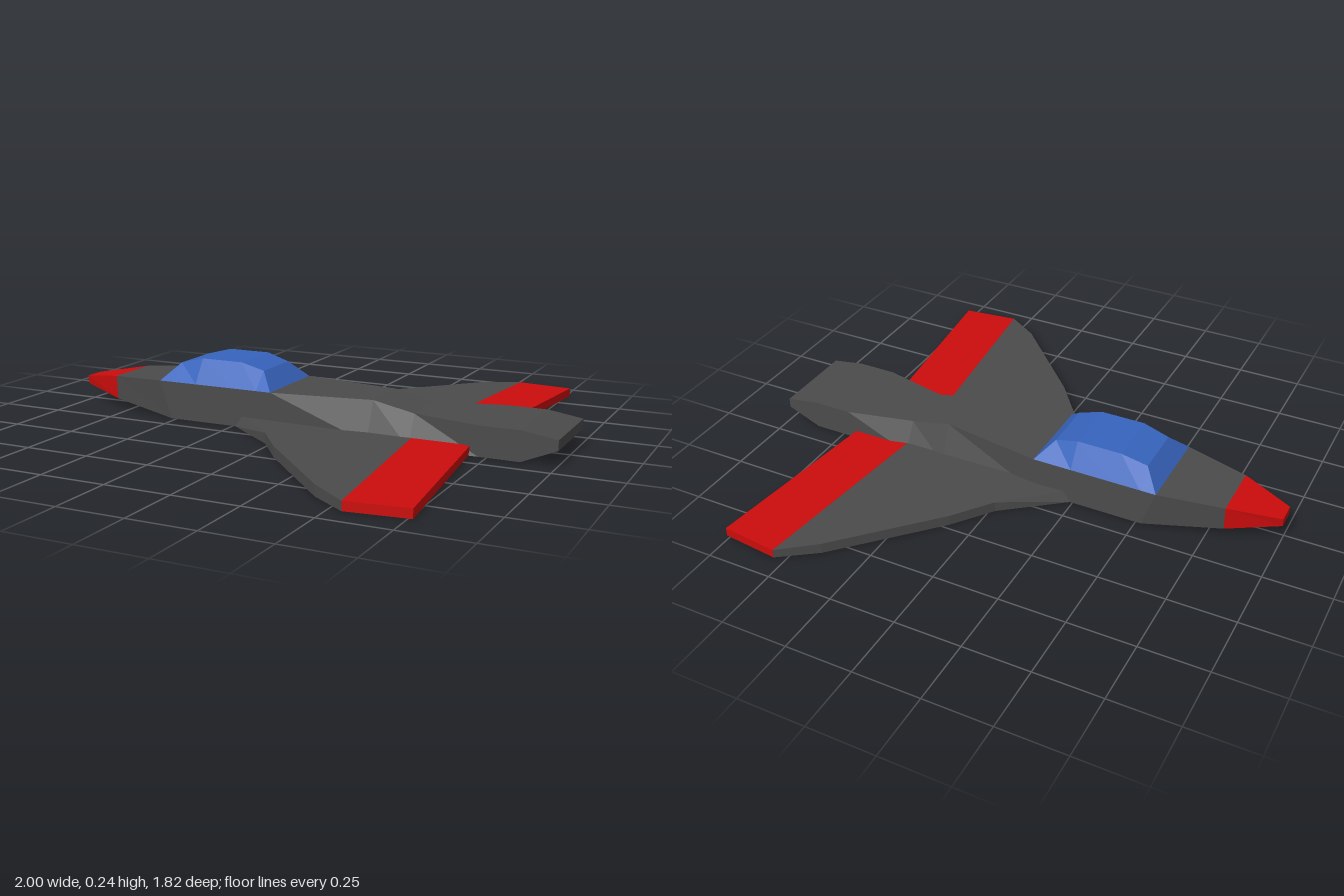
import * as THREE from 'three';

const mat = (name, color) => {
  const m = new THREE.MeshStandardMaterial({ color });
  m.name = name;
  return m;
};

function solid(name, triangles, material) {
  const g = new THREE.BufferGeometry();
  g.setAttribute('position', new THREE.Float32BufferAttribute(triangles.flat(), 3));
  g.computeVertexNormals(); // unshared corners give flat faces
  const mesh = new THREE.Mesh(g, material);
  mesh.name = name;
  return mesh;
}

// Four-sided loft along x; station: top x, top y, top half width, bottom x, bottom y, bottom half width
function loft(name, stations, material) {
  const rings = stations.map(([xt, yt, wt, xb, yb, wb]) =>
    [[xb, yb, wb], [xb, yb, -wb], [xt, yt, -wt], [xt, yt, wt]]);
  const t = [];
  for (let s = 0; s < rings.length - 1; s++) {
    const a = rings[s], b = rings[s + 1];
    for (let i = 0; i < 4; i++) {
      const j = (i + 1) % 4;
      t.push(a[i], a[j], b[j], a[i], b[j], b[i]);
    }
  }
  const a = rings[0], b = rings[rings.length - 1];
  t.push(a[0], a[2], a[1], a[0], a[3], a[2], b[0], b[1], b[2], b[0], b[2], b[3]);
  return solid(name, t, material);
}

// Thin slab from an outline of [x, z, top y]; side = 1 or -1 mirrors it
function slab(name, outline, side, material) {
  const root = 0.165;
  // Upper root corners reach inward to meet the sloping fuselage side
  const top = outline.map(([x, z, y]) => [x, y, side * (z === root ? z - 0.025 : z)]);
  const bottom = outline.map(([x, z]) => [x, 0, side * z]);
  const t = [];
  const tri = (p, q, r) => (side > 0 ? t.push(p, q, r) : t.push(p, r, q));
  const n = outline.length;
  for (let i = 0; i < n; i++) {
    const j = (i + 1) % n;
    if (i > 0 && j > 0) {
      tri(top[0], top[i], top[j]);
      tri(bottom[0], bottom[j], bottom[i]);
    }
    tri(bottom[i], bottom[j], top[j]);
    tri(bottom[i], top[j], top[i]);
  }
  return solid(name, t, material);
}

export function createModel() {
  const grey = mat('darkGrey', 0x4b4b4b);
  const red = mat('red', 0xcc0c0c);
  const blue = mat('canopyBlue', 0x3764bd);
  const model = new THREE.Group();
  model.name = 'jet';

  // Nose points along -x
  const noseBase = [-0.81, 0.13, 0.11, -0.81, 0.037, 0.105];
  model.add(loft('noseCone', [[-1, 0.1, 0.04, -1, 0.067, 0.035], noseBase], red));

  // Fuselage with pinched spine and wedge tail
  model.add(loft('fuselage', [
    noseBase,
    [-0.57, 0.145, 0.165, -0.52, 0, 0.165],
    [-0.09, 0.145, 0.165, -0.09, 0, 0.165],
    [0.3, 0.145, 0.105, 0.3, 0, 0.165],
    [0.46, 0.112, 0.105, 0.46, 0, 0.165],
    [0.72, 0.112, 0.165, 0.72, 0, 0.165],
    [0.87, 0.112, 0.165, 0.87, 0, 0.165],
    [1, 0.092, 0.165, 1, 0.055, 0.165],
  ], grey));

  // Canopy
  const arch = [[-0.57, 0.145, 0.165], [-0.51, 0.21, 0.1], [-0.41, 0.236, 0.108],
    [-0.24, 0.236, 0.108], [-0.15, 0.21, 0.1], [-0.09, 0.145, 0.165]];
  model.add(loft('canopy', arch.map(([x, y, w]) => [x, y, w, x, 0.145, 0.165]), blue));

  // Wings with red trailing flaps
  const wing = [[0.465, 0.165, 0.033], [-0.24, 0.165, 0.04], [-0.02, 0.335, 0.04],
    [0.09, 0.48, 0.04], [0.41, 0.815, 0.04], [0.545, 0.91, 0.033]];
  const flap = [[0.465, 0.165, 0.033], [0.545, 0.91, 0.033],
    [0.765, 0.885, 0.033], [0.685, 0.165, 0.033]];
  for (const side of [1, -1]) {
    const label = side > 0 ? 'front' : 'back';
    model.add(slab(label + 'Wing', wing, side, grey), slab(label + 'Flap', flap, side, red));
  }
  return model;
}
